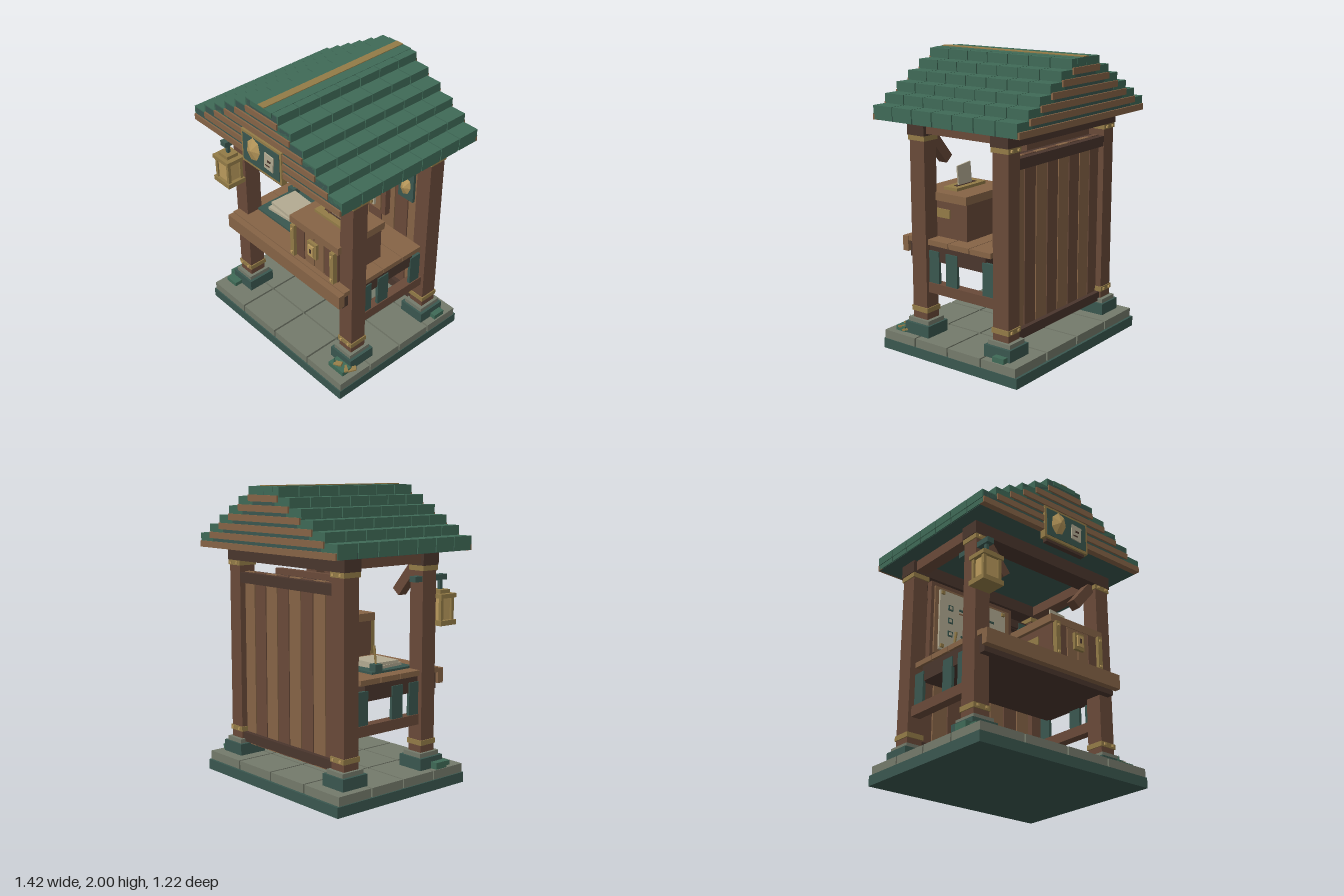
import * as THREE from 'three';

const mat = (name, color, extra = {}) => new THREE.MeshStandardMaterial({ name, color, ...extra });

export function createModel() {
  const M = {
    roof: mat('roof green', 0x3f6a57),
    slate: mat('slate green', 0x3a574f),
    stone: mat('stone', 0x747a6b),
    dark: mat('dark wood', 0x4a362d),
    red: mat('red brown wood', 0x694a39),
    light: mat('light wood', 0x866446),
    brass: mat('brass', 0x937b47),
    gold: mat('gold', 0xba9a5c, { flatShading: true }),
    paper: mat('paper', 0xb3ab92),
  };
  const root = new THREE.Group();
  root.name = 'noticeKiosk';
  const group = (name, parent = root) => {
    const g = new THREE.Group();
    g.name = name;
    parent.add(g);
    return g;
  };
  const add = (name, geo, m, p = root) => {
    const mesh = new THREE.Mesh(geo, m);
    mesh.name = name;
    p.add(mesh);
    return mesh;
  };
  // Box given by its extents on each axis
  const box = (name, m, x0, x1, y0, y1, z0, z1, p) => {
    const b = add(name, new THREE.BoxGeometry(x1 - x0, y1 - y0, z1 - z0), m, p);
    b.position.set((x0 + x1) / 2, (y0 + y1) / 2, (z0 + z1) / 2);
    return b;
  };
  // Box given by centre and size
  const block = (name, m, x, y, z, w, h, d, p) =>
    box(name, m, x - w / 2, x + w / 2, y - h / 2, y + h / 2, z - d / 2, z + d / 2, p);
  // Faceted emblem pointing to +z
  const crystal = (name, x, y, z, rx, ry, depth, p) => {
    const c = add(name, new THREE.ConeGeometry(1, 1, 7).rotateX(Math.PI / 2), M.gold, p);
    c.scale.set(rx, ry, depth);
    c.position.set(x, y, z + depth / 2);
    c.rotation.z = -0.3;
    return c;
  };

  // Stone floor
  const floor = group('floor');
  box('floorSlab', M.slate, -0.695, 0.69, 0, 0.07, -0.58, 0.55, floor);
  for (let i = 0; i < 4; i++) for (let j = 0; j < 4; j++) {
    block('paver', M.stone, -0.519 + i * 0.346, 0.1, -0.429 + j * 0.279, 0.333, 0.06, 0.267, floor);
  }

  // Corner posts with plinths and brass bands
  const posts = group('posts');
  for (const s of [-1, 1]) for (const z of [0.3, -0.38]) {
    const x = s * 0.535;
    block('plinth', M.slate, x, 0.17, z, 0.195, 0.08, 0.205, posts);
    block('plinthCap', M.stone, x, 0.224, z, 0.155, 0.03, 0.175, posts);
    block('post', M.red, x, 0.905, z, 0.115, 1.34, 0.122, posts);
    for (const y of [0.305, 1.468]) {
      block('band', M.brass, x, y, z, 0.13, 0.034, 0.136, posts);
      for (const t of [-0.035, 0.035]) {
        block('rivet', M.gold, x + t, y, z + Math.sign(z) * 0.071, 0.016, 0.016, 0.012, posts);
      }
    }
  }

  // Beams and braces
  const frame = group('roofFrame');
  for (const z of [0.3, -0.38]) block('crossBeam', M.dark, 0, 1.53, z, 1.21, 0.09, 0.14, frame);
  for (const s of [-1, 1]) {
    block('sideBeam', M.red, s * 0.535, 1.537, -0.04, 0.09, 0.074, 0.7, frame);
    block('brace', M.red, s * 0.395, 1.385, 0.3, 0.07, 0.25, 0.07, frame).rotation.z = -s * 0.7;
  }
  for (const s of [-1, 1]) for (const [z, w] of [[0.198, 0.085], [0.048, 0.095], [-0.255, 0.09]]) {
    block('sideSlat', M.slate, s * 0.552, 0.61, z, 0.022, 0.22, w, frame);
  }
  for (const s of [-1, 1]) block('sideRail', M.red, s * 0.535, 0.465, -0.04, 0.07, 0.07, 0.56, frame);

  // Stepped roof: a core, gable boards and tile rows on each tier
  const roof = group('roof');
  for (let i = 0; i < 6; i++) {
    const hw = 0.71 - i * 0.111, y = 1.575 + i * 0.0645;
    box('tierCore', M.slate, 0.012 - hw, hw - 0.012, y, y + 0.088, -0.594, 0.564, roof);
    for (const [a, b] of [[0.53, 0.575], [-0.607, -0.56]]) {
      box('gableBoard', M.light, 0.006 - hw, hw - 0.006, y, y + 0.042, a, b, roof);
    }
    for (let k = 0; k < 7; k++) for (const s of [-1, 1]) {
      const z = -0.515 + k * 0.1665;
      block('tile', M.roof, s * (hw - 0.075), y + 0.066, z, 0.15, 0.058, 0.16, roof);
      block('tileLip', M.roof, s * (hw - 0.03), y + 0.022, z, 0.05, 0.04, 0.155, roof);
    }
  }
  box('ridgeCap', M.roof, -0.1, 0.1, 1.96, 1.995, -0.6, 0.57, roof);
  box('ridgeStrip', M.brass, -0.028, 0.028, 1.99, 2, -0.598, 0.568, roof);

  // Gable sign
  const sign = group('gableSign');
  box('signBack', M.dark, -0.17, 0.17, 1.5, 1.6, 0.53, 0.565, sign);
  box('signFrame', M.brass, -0.195, 0.19, 1.52, 1.757, 0.535, 0.58, sign);
  box('signPanel', M.slate, -0.178, 0.173, 1.54, 1.74, 0.576, 0.584, sign);
  crystal('signEmblem', -0.075, 1.655, 0.583, 0.066, 0.092, 0.027, sign);
  block('signNote', M.paper, 0.08, 1.64, 0.588, 0.085, 0.11, 0.008, sign).rotation.z = -0.08;
  block('noteMark', M.dark, 0.085, 1.65, 0.593, 0.03, 0.014, 0.004, sign);
  block('noteMark', M.dark, 0.07, 1.615, 0.593, 0.04, 0.008, 0.004, sign);

  // Back wall of boards
  const wall = group('backWall');
  for (let i = 0; i < 8; i++) {
    block('wallBoard', i % 2 ? M.light : M.red, -0.4305 + i * 0.123, 0.805, -0.38, 0.114, 1.21, 0.035, wall);
  }
  block('bottomRail', M.dark, 0, 0.253, -0.38, 0.98, 0.065, 0.1, wall);
  block('topRail', M.dark, 0, 1.37, -0.38, 0.98, 0.07, 0.12, wall);

  // Notice board
  const board = group('noticeBoard');
  box('boardFrame', M.red, -0.475, 0.24, 0.87, 1.445, -0.32, -0.275, board);
  box('boardPanel', M.light, -0.45, 0.205, 0.905, 1.41, -0.28, -0.262, board);
  box('noticeSheet', M.paper, -0.42, 0.16, 0.935, 1.385, -0.264, -0.246, board);
  for (const [y, x0, x1] of [[1.265, -0.255, 0.055], [1.167, -0.22, 0.025], [1.068, -0.24, 0.055]]) {
    box('tickBox', M.slate, -0.35, -0.31, y - 0.02, y + 0.02, -0.248, -0.24, board);
    box('tickBoxInside', M.paper, -0.34, -0.32, y - 0.011, y + 0.011, -0.242, -0.237, board);
    box('heading', M.slate, x0, x1, y, y + 0.014, -0.248, -0.24, board);
    box('subLine', M.light, x0, x1 - 0.06, y - 0.024, y - 0.015, -0.248, -0.242, board);
  }
  for (const x of [-0.4, 0.135]) for (const y of [0.96, 1.362]) {
    block('pin', M.brass, x, y, -0.24, 0.024, 0.024, 0.016, board);
  }

  // Hanging banner
  const banner = group('banner');
  box('bannerCloth', M.slate, 0.335, 0.47, 1.1, 1.385, -0.315, -0.295, banner);
  box('bannerRod', M.dark, 0.24, 0.48, 1.34, 1.4, -0.325, -0.3, banner);
  crystal('bannerEmblem', 0.4, 1.2, -0.296, 0.046, 0.075, 0.03, banner);

  // Counter
  const counter = group('counter');
  box('apron', M.dark, -0.555, 0.555, 0.65, 0.762, -0.23, 0.41, counter);
  box('fascia', M.light, -0.577, 0.577, 0.685, 0.787, 0.412, 0.458, counter);
  for (let i = 0; i < 4; i++) {
    block('counterBoard', M.light, 0, 0.778, -0.2 + i * 0.176, 1.15, 0.036, 0.171, counter);
  }

  // Writing mat, sheets and inkwell
  const desk = group('writingSet');
  box('mat', M.slate, -0.48, -0.1, 0.796, 0.81, -0.1, 0.27, desk);
  block('lowerSheet', M.paper, -0.29, 0.82, 0.1, 0.27, 0.02, 0.23, desk).rotation.y = 0.08;
  block('upperSheet', M.paper, -0.3, 0.84, 0.09, 0.24, 0.02, 0.21, desk).rotation.y = -0.05;
  block('inkwell', M.slate, -0.45, 0.83, -0.04, 0.06, 0.05, 0.06, desk);
  const pen = add('pen', new THREE.CylinderGeometry(0.01, 0.006, 0.15, 6), M.brass, desk);
  pen.position.set(-0.443, 0.9, -0.04);
  pen.rotation.z = -0.15;

  // Collection chest with lid, straps and lock
  const chest = group('chest');
  box('chestBody', M.red, 0.045, 0.47, 0.796, 1.055, -0.01, 0.375, chest);
  box('chestLid', M.light, 0.02, 0.49, 1.045, 1.1, -0.02, 0.392, chest);
  for (let i = 0; i < 4; i++) {
    block('chestBoard', i % 3 ? M.light : M.red, 0.115 + i * 0.096, 0.925, 0.38, 0.087, 0.24, 0.016, chest);
  }
  for (const x of [0.065, 0.45]) {
    block('cornerStrap', M.brass, x, 0.925, 0.395, 0.036, 0.25, 0.035, chest);
    for (const y of [0.83, 1.02]) block('strapStud', M.gold, x, y, 0.415, 0.016, 0.016, 0.012, chest);
  }
  box('lockPlate', M.brass, 0.215, 0.3, 0.895, 1.015, 0.385, 0.41, chest);
  box('lockFace', M.gold, 0.232, 0.283, 0.915, 0.995, 0.405, 0.422, chest);
  box('keyhole', M.dark, 0.25, 0.265, 0.94, 0.972, 0.42, 0.426, chest);
  box('sidePlate', M.brass, 0.468, 0.478, 0.93, 0.99, 0.13, 0.24, chest);
  box('sidePlate', M.brass, 0.037, 0.047, 0.93, 0.99, 0.13, 0.24, chest);
  box('slotPlate', M.brass, 0.1, 0.4, 1.098, 1.12, 0.13, 0.245, chest);
  box('slot', M.dark, 0.15, 0.35, 1.119, 1.123, 0.17, 0.2, chest);
  block('postedSheet', M.paper, 0.26, 1.185, 0.185, 0.135, 0.15, 0.01, chest).rotation.z = -0.1;
  block('sheetMark', M.dark, 0.25, 1.215, 0.193, 0.03, 0.02, 0.005, chest);
  block('sheetMark', M.dark, 0.265, 1.17, 0.193, 0.06, 0.009, 0.005, chest);

  // Lantern on a bracket
  const lantern = group('lantern');
  const lx = -0.563, lz = 0.43;
  box('bracket', M.slate, -0.588, -0.535, 1.38, 1.417, 0.175, 0.47, lantern);
  block('hanger', M.slate, lx, 1.345, lz, 0.022, 0.08, 0.022, lantern);
  block('lanternCap', M.brass, lx, 1.302, lz, 0.095, 0.03, 0.09, lantern);
  block('lanternTop', M.brass, lx, 1.278, lz, 0.165, 0.028, 0.145, lantern);
  block('lanternGlass', M.gold, lx, 1.185, lz, 0.11, 0.17, 0.1, lantern);
  block('lanternBase', M.brass, lx, 1.1, lz, 0.165, 0.034, 0.145, lantern);
  for (const a of [-1, 1]) for (const b of [-1, 1]) {
    block('lanternBar', M.brass, lx + a * 0.06, 1.19, lz + b * 0.05, 0.022, 0.16, 0.022, lantern);
  }

  // Moss and fallen leaves around the plinths
  const moss = group('moss');
  for (const [x, z, w, d, h] of [[0.57, 0.44, 0.14, 0.08, 0.035], [-0.65, 0.35, 0.06, 0.1, 0.045],
    [0.64, -0.42, 0.07, 0.09, 0.035], [-0.6, 0.43, 0.1, 0.06, 0.03]]) {
    block('mossPad', M.roof, x, 0.13 + h / 2, z, w, h, d, moss);
  }
  const sprout = add('sprout', new THREE.ConeGeometry(0.018, 0.08, 4), M.roof, moss);
  sprout.position.set(0.53, 0.175, 0.455);
  for (const [x, y, z, r] of [[0.56, 0.172, 0.45, 0.4], [0.62, 0.16, 0.44, -0.5], [0.645, 0.15, 0.4, 0.9]]) {
    block('leaf', M.brass, x, y, z, 0.06, 0.012, 0.035, moss).rotation.set(0.2, r, 0.15);
  }
  return root;
}
